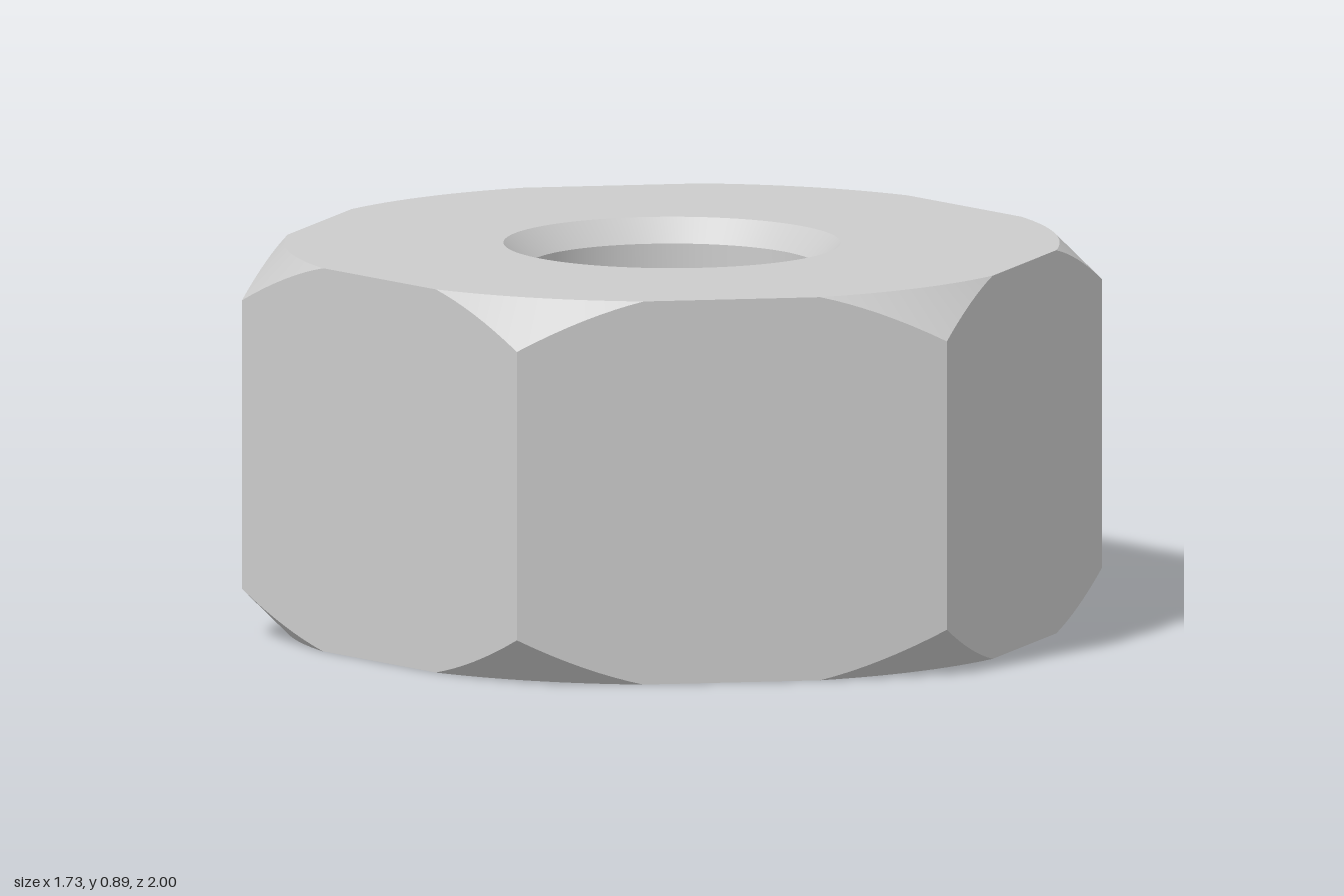
import * as THREE from 'three';
import { toCreasedNormals } from 'three/addons/utils/BufferGeometryUtils.js';

const HEIGHT = 0.89;
const APOTHEM = Math.sqrt(3) / 2; // corners lie at radius 1, on +z and -z
const FACE_R = 0.89;              // rim of the flat end faces, where the 45 degree chamfer starts
const BORE_R = 0.333;
const MOUTH_R = 0.387;            // countersunk mouth of the bore
const STEPS = 8;

// Angles around the nut, with exact stops where the chamfer meets each flat
function ringAngles() {
  const half = Math.PI / 6;
  const meet = Math.acos(APOTHEM / FACE_R);
  const stops = [-half, -meet, meet, half];
  const rays = [];
  for (let side = 0; side < 6; side++) {
    for (let s = 0; s < 3; s++) {
      for (let i = 0; i < STEPS; i++) {
        const u = THREE.MathUtils.lerp(stops[s], stops[s + 1], i / STEPS);
        rays.push({ angle: side * Math.PI / 3 + u, r: APOTHEM / Math.cos(u) });
      }
    }
  }
  return rays;
}

// Skin radial cross-sections [radius, height] all the way round
function sweep(section) {
  const rings = ringAngles().map(({ angle, r }) => section(r).map(
    ([d, y]) => new THREE.Vector3(d * Math.cos(angle), y, d * Math.sin(angle))));
  const positions = [];
  const triangle = (a, b, c) => {
    const area = b.clone().sub(a).cross(c.clone().sub(a)).length();
    if (area > 1e-9) for (const p of [a, b, c]) positions.push(p.x, p.y, p.z);
  };
  rings.forEach((ring, i) => {
    const next = rings[(i + 1) % rings.length];
    for (let j = 0; j < ring.length - 1; j++) {
      triangle(ring[j], next[j], ring[j + 1]);
      triangle(ring[j + 1], next[j], next[j + 1]);
    }
  });
  const geometry = new THREE.BufferGeometry();
  geometry.setAttribute('position', new THREE.Float32BufferAttribute(positions, 3));
  return toCreasedNormals(geometry, 0.3);
}

export function createModel() {
  const group = new THREE.Group();
  group.name = 'hexNut';
  const material = new THREE.MeshStandardMaterial({ color: 0xcccccc });
  const add = (name, section) => {
    const mesh = new THREE.Mesh(sweep(section), material);
    mesh.name = name;
    group.add(mesh);
  };

  // Hexagonal body: end faces, conical corner chamfers and six flats
  add('hexBody', (r) => {
    const rim = Math.min(r, FACE_R);
    const drop = r - rim;
    return [[MOUTH_R, HEIGHT], [rim, HEIGHT], [r, HEIGHT - drop],
      [r, drop], [rim, 0], [MOUTH_R, 0]];
  });

  // Through hole with a 45 degree countersink at both ends
  const sink = MOUTH_R - BORE_R;
  add('bore', () => [[MOUTH_R, 0], [BORE_R, sink],
    [BORE_R, HEIGHT - sink], [MOUTH_R, HEIGHT]]);

  return group;
}
